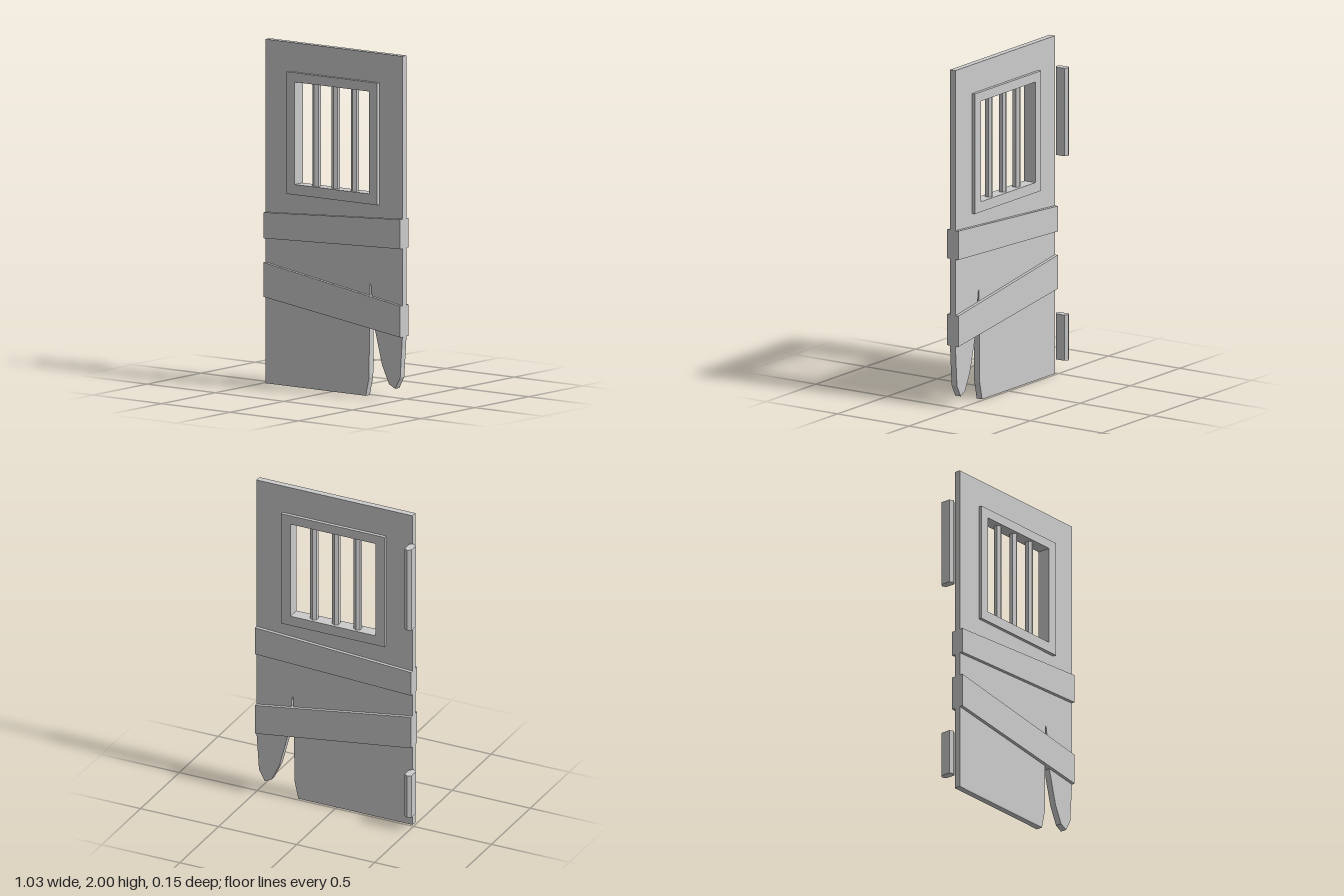
import * as THREE from 'three';

const material = new THREE.MeshStandardMaterial({ color: 0xcccccc, flatShading: true });
const LEFT = 0.513, RIGHT = -0.487; // door edges
const MID_Z = 0.034;                // middle of the door thickness

const toPoints = (pts) => pts.map(([x, y]) => new THREE.Vector2(x, y));
const rect = (x0, y0, x1, y1) => [[x0, y0], [x1, y0], [x1, y1], [x0, y1]];

// Flat outline, with an optional hole, extruded evenly about z = 0
function slab(outline, depth, hole) {
  const shape = new THREE.Shape(toPoints(outline));
  if (hole) shape.holes.push(new THREE.Path(toPoints(hole)));
  const geometry = new THREE.ExtrudeGeometry(shape, { depth, bevelEnabled: false });
  return geometry.translate(0, 0, -depth / 2);
}

export function createModel() {
  const door = new THREE.Group();
  door.name = 'door';
  const add = (name, geometry, x = 0, y = 0, z = MID_Z) => {
    const mesh = new THREE.Mesh(geometry, material);
    mesh.name = name;
    mesh.position.set(x, y, z);
    door.add(mesh);
  };

  // Panel with a split running up from a broken lower corner
  const panel = [
    [RIGHT, 0], [0.245, 0], [0.27, 0.11], [0.272, 0.4], [0.278, 0.655],
    [0.286, 0.64], [0.29, 0.585], [0.31, 0.4], [0.365, 0.19], [0.415, 0.085],
    [0.46, 0.062], [0.497, 0.13], [LEFT, 0.37], [LEFT, 2], [RIGHT, 2],
  ];
  add('panel', slab(panel, 0.038, rect(-0.28, 1.16, 0.305, 1.795)));

  // Window frame, proud of the panel on both sides
  add('windowFrame', slab(rect(-0.317, 1.12, 0.345, 1.83), 0.078, rect(-0.26, 1.18, 0.285, 1.775)));

  // Hexagonal window bars
  for (const x of [-0.127, 0.012, 0.152]) {
    add('windowBar', new THREE.CylinderGeometry(0.024, 0.024, 0.61, 6), x, 1.4775);
  }

  // Crooked cross planks wrapping both faces
  add('upperPlank', slab([[RIGHT, 0.845], [LEFT, 0.882], [LEFT, 1.053], [RIGHT, 0.995]], 0.078));
  add('lowerPlank', slab([[RIGHT, 0.505], [LEFT, 0.368], [LEFT, 0.55], [RIGHT, 0.705]], 0.078));

  // Hinges: upright prisms with pointed ends, on the back edge
  const hinge = [
    [0, -0.043], [0.0225, -0.03], [0.0225, 0.03],
    [0, 0.043], [-0.0225, 0.03], [-0.0225, -0.03],
  ];
  for (const [bottom, top] of [[0.09, 0.36], [1.3, 1.82]]) {
    add('hinge', slab(hinge, top - bottom).rotateX(-Math.PI / 2), -0.4955, (bottom + top) / 2, -0.03);
  }
  return door;
}
